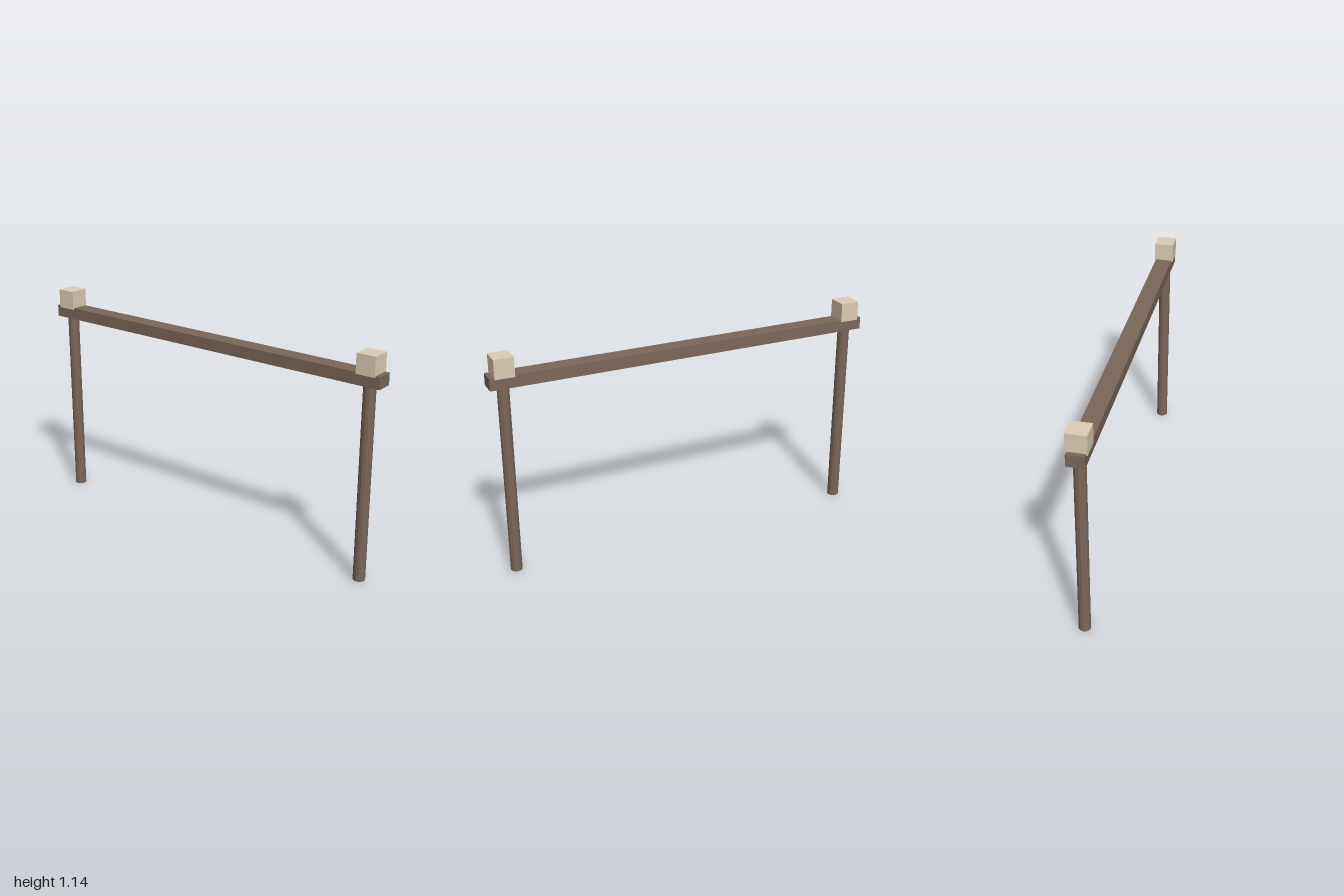
import * as THREE from 'three';

export function createModel() {
  const model = new THREE.Group();
  const wood = new THREE.MeshStandardMaterial({ color: 0x7a675a, flatShading: true });
  const pale = new THREE.MeshStandardMaterial({ color: 0xdccdb4, flatShading: true });

  const add = (name, geometry, material, x, y) => {
    const mesh = new THREE.Mesh(geometry, material);
    mesh.name = name;
    mesh.position.set(x, y, 0);
    model.add(mesh);
  };

  // Crossbeam resting on the posts
  add('crossbeam', new THREE.BoxGeometry(2, 0.06, 0.086), wood, 0, 1.016);

  // A round post below and a block above each end of the beam
  for (const [side, x] of [['left', 0.928], ['right', -0.928]]) {
    add(`${side}Post`, new THREE.CylinderGeometry(0.03, 0.03, 0.986, 12), wood, x, 0.493);
    add(`${side}CapBlock`, new THREE.BoxGeometry(0.098, 0.098, 0.098), pale, x, 1.088);
  }

  return model;
}
